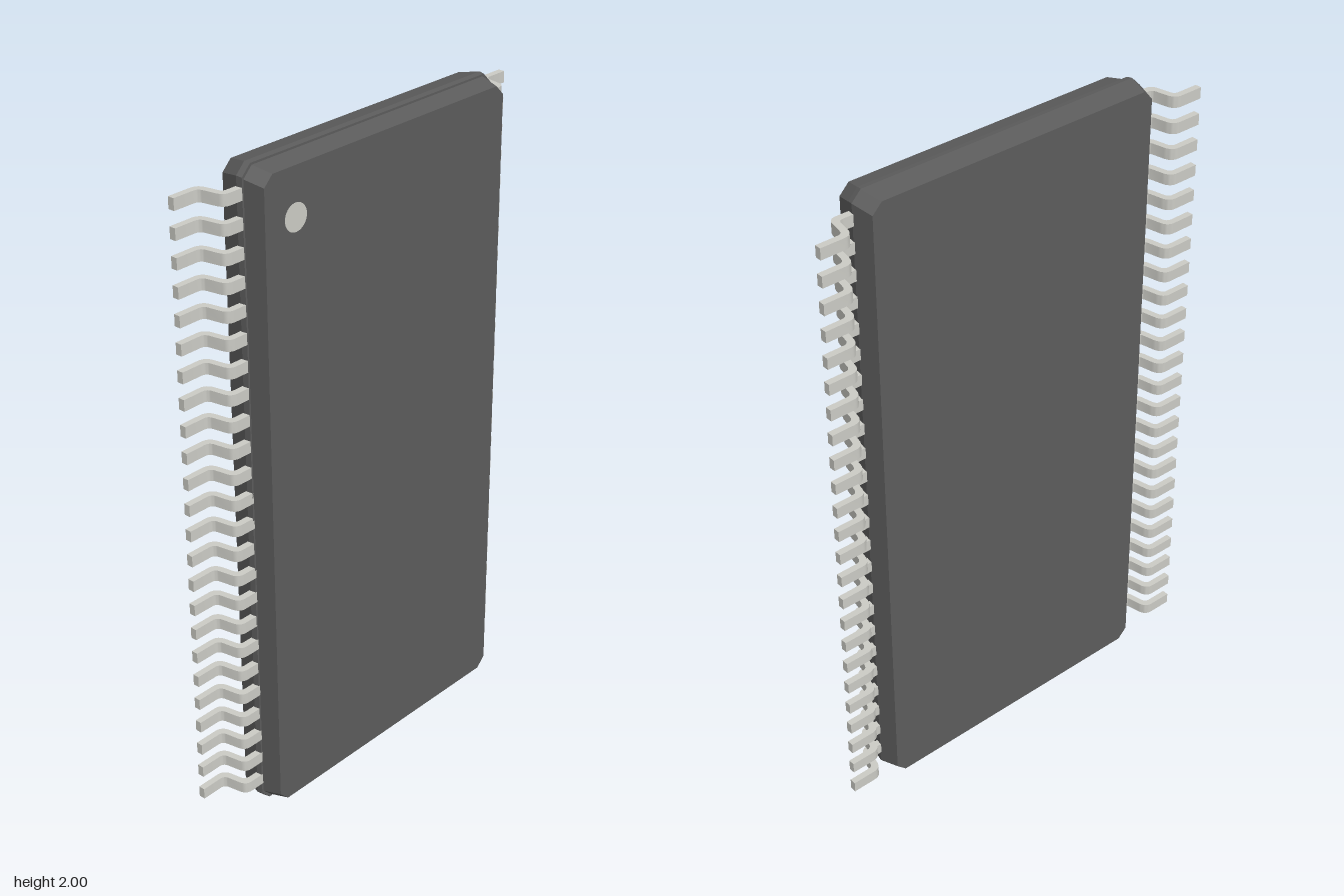
import * as THREE from 'three';
import { toCreasedNormals } from 'three/addons/utils/BufferGeometryUtils.js';
import { ConvexGeometry } from 'three/addons/geometries/ConvexGeometry.js';

const PINS = 24, PITCH = 0.08, FIRST_Y = 0.084, PIN_WIDTH = 0.034;

// Chamfered rectangle of half sizes hx, hy at depth z
function ring(z, hx, hy, c = 0.03) {
  const points = [];
  for (const sx of [-1, 1]) for (const sy of [-1, 1]) {
    points.push(new THREE.Vector3(sx * hx, 1 + sy * (hy - c), z));
    points.push(new THREE.Vector3(sx * (hx - c), 1 + sy * hy, z));
  }
  return points;
}

// Gull-wing lead outline, drawn as (x, -z) and extruded along y
function pinGeometry(side) {
  const s = new THREE.Shape();
  const line = (x, z) => s.lineTo(side * x, -z);
  const bend = (cx, cz, x, z) => s.quadraticCurveTo(side * cx, -cz, side * x, -z);
  s.moveTo(side * 0.47, -0.017);
  line(0.528, 0.017);
  bend(0.55, 0.017, 0.555, -0.006);
  line(0.562, -0.043);
  bend(0.565, -0.06, 0.58, -0.06);
  line(0.647, -0.06);
  line(0.647, -0.08);
  line(0.574, -0.08);
  bend(0.548, -0.08, 0.543, -0.052);
  line(0.536, -0.016);
  bend(0.533, -0.004, 0.52, -0.004);
  line(0.47, -0.004);
  s.closePath();
  const g = new THREE.ExtrudeGeometry(s, { depth: PIN_WIDTH, bevelEnabled: false, curveSegments: 6 });
  g.translate(0, 0, -PIN_WIDTH / 2).rotateX(-Math.PI / 2);
  return toCreasedNormals(g, 0.6);
}

export function createModel() {
  const group = new THREE.Group();
  const plastic = new THREE.MeshStandardMaterial({ color: 0x5c5c5c, flatShading: true });
  const metal = new THREE.MeshStandardMaterial({ color: 0xcbcbc5 });

  const add = (name, geometry, material, parent = group) => {
    const mesh = new THREE.Mesh(geometry, material);
    mesh.name = name;
    parent.add(mesh);
    return mesh;
  };

  // Moulded package: two tapered halves with a small step between them
  add('bodyBack', new ConvexGeometry([
    ...ring(-0.064, 0.475, 0.987), ...ring(0, 0.49, 1), ...ring(0.017, 0.487, 0.998),
  ]), plastic);
  add('bodyFront', new ConvexGeometry([
    ...ring(0.016, 0.482, 0.992), ...ring(0.077, 0.47, 0.98),
  ]), plastic);

  // Round orientation mark on the front face
  const mark = add('orientationMark', new THREE.CylinderGeometry(0.04, 0.04, 0.004, 32), metal);
  mark.rotation.x = Math.PI / 2;
  mark.position.set(-0.36, 1.84, 0.0758);

  // Rows of bent leads on both long sides
  for (const side of [-1, 1]) {
    const row = new THREE.Group();
    row.name = side > 0 ? 'leftPins' : 'rightPins';
    group.add(row);
    const geometry = pinGeometry(side);
    for (let i = 0; i < PINS; i++) {
      add('pin' + (i + 1), geometry, metal, row).position.y = FIRST_Y + i * PITCH;
    }
  }
  return group;
}
